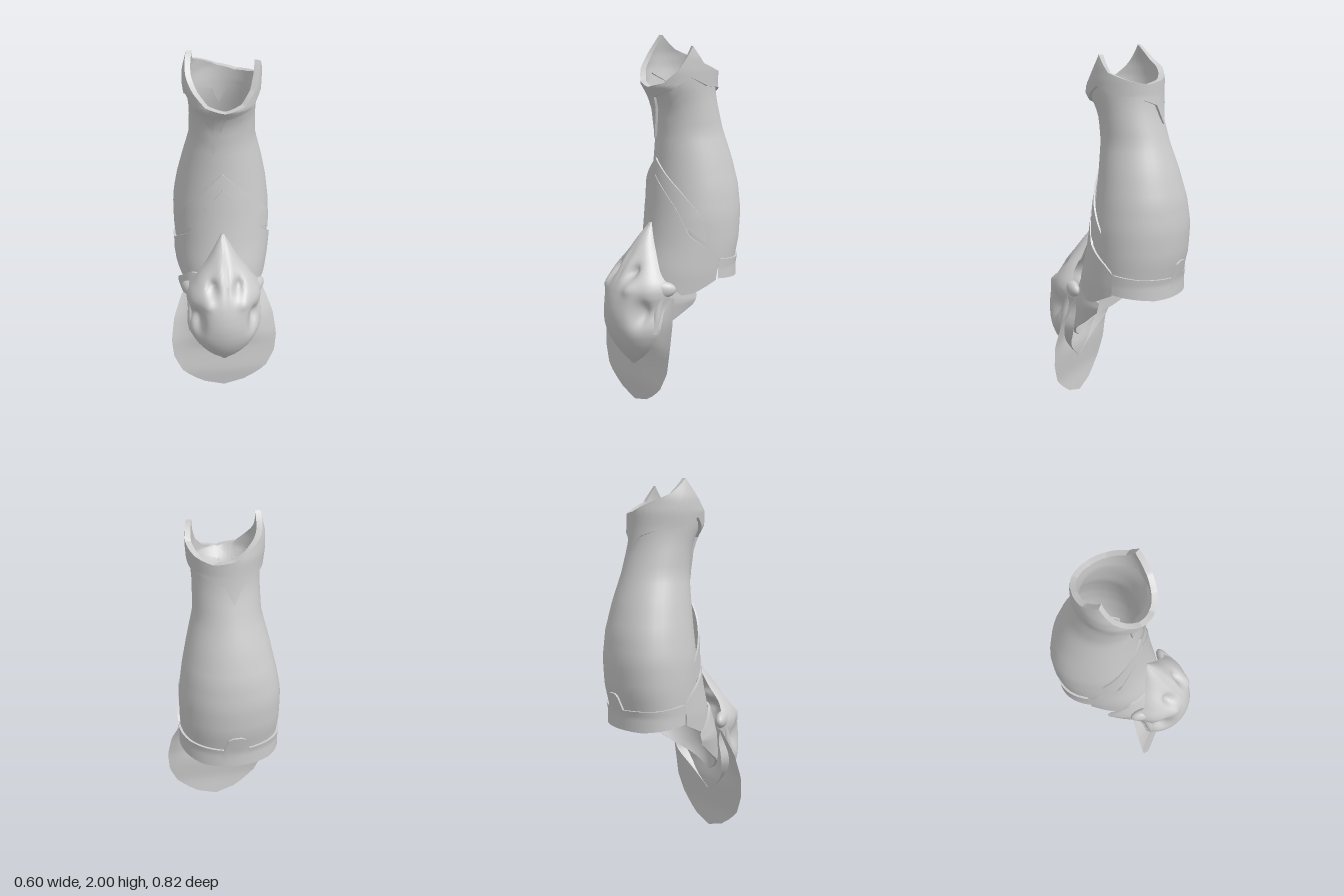
import * as THREE from 'three';
import { toCreasedNormals } from 'three/addons/utils/BufferGeometryUtils.js';

const DEG = Math.PI / 180;
const material = new THREE.MeshStandardMaterial({ color: 0xcccccc, side: THREE.DoubleSide });

// Linear interpolation in rows sorted by their first value
function sample(rows, t) {
  if (t <= rows[0][0]) return rows[0].slice(1);
  for (let i = 1; i < rows.length; i++) {
    const a = rows[i - 1], b = rows[i];
    if (t <= b[0]) {
      const k = (t - a[0]) / (b[0] - a[0]);
      return a.slice(1).map((v, n) => v + (b[n + 1] - v) * k);
    }
  }
  return rows[rows.length - 1].slice(1);
}

// Surface made from a rule that gives a point for each grid position
function grid(nu, nv, point, crease = 0.7) {
  const pos = [], index = [];
  for (let i = 0; i <= nu; i++) for (let j = 0; j <= nv; j++) pos.push(...point(i, j));
  for (let i = 0; i < nu; i++) for (let j = 0; j < nv; j++) {
    const a = i * (nv + 1) + j, b = a + nv + 1;
    index.push(a, b, b + 1, a, b + 1, a + 1);
  }
  const g = new THREE.BufferGeometry();
  g.setAttribute('position', new THREE.Float32BufferAttribute(pos, 3));
  g.setIndex(index);
  return toCreasedNormals(g, crease);
}

// Point on an oval section; rows hold y, centre x, radius x, front z, back z.
// Angle 0 is the front, positive angles turn to +x. The calf is fuller, and the
// top slimmer, towards the rear right.
const fullness = [[0.7, 0.12], [1.1, 0.12], [1.5, 0], [1.85, -0.06]];
function onBody(rows, deg, y, off) {
  const [cx, rx, zf, zb] = sample(rows, y);
  const turn = (deg + 665) % 360 - 180;
  const k = 1 + sample(fullness, y)[0] * Math.exp(-((turn / 33) ** 2));
  const s = Math.sin(deg * DEG), c = Math.cos(deg * DEG);
  return [cx + (rx * k + off) * s, y, (zf + zb) / 2 + ((zf - zb) / 2 * k + off) * c];
}

// Plate of even thickness that follows a body between two outlines (angle, y)
function plate(rows, from, to, steps, top, bottom, off, thick) {
  const n = 9, full = to - from >= 360;
  return grid(steps, 2 * n + 2, (i, j) => {
    const a = from + (to - from) * i / steps;
    const k = j <= n ? j / n : j <= 2 * n + 1 ? (2 * n + 1 - j) / n : 0;
    const inner = j > n && j <= 2 * n + 1;
    const t = sample(top, a)[0], b = sample(bottom, a)[0];
    const d = !full && (i === 0 || i === steps) ? 0 : thick;
    return onBody(rows, a, b + (t - b) * k, off - (inner ? d : 0));
  }, 0.6);
}

const mirrorKeys = keys => [...keys.slice(1).map(([a, y]) => [-a, y]).reverse(), ...keys];

const sleeveRows = [
  [0.76, 0.025, 0.25, 0.1, -0.365], [0.9, 0.025, 0.26, 0.1, -0.398],
  [1.05, 0.025, 0.26, 0.1, -0.408], [1.2, 0.025, 0.242, 0.085, -0.393],
  [1.35, 0.023, 0.213, 0.075, -0.355], [1.5, 0.02, 0.178, 0.07, -0.305],
  [1.62, 0.018, 0.175, 0.08, -0.27], [1.69, 0.016, 0.175, 0.105, -0.257],
  [1.75, 0.013, 0.182, 0.142, -0.252], [1.83, 0.01, 0.19, 0.142, -0.252]];

const collarRows = [
  [1.46, 0.02, 0.185, 0.074, -0.31], [1.5, 0.02, 0.18, 0.074, -0.3],
  [1.62, 0.018, 0.178, 0.084, -0.27], [1.69, 0.016, 0.18, 0.111, -0.262],
  [1.75, 0.013, 0.187, 0.15, -0.258], [1.83, 0.01, 0.196, 0.15, -0.258],
  [1.9, 0.012, 0.196, 0.13, -0.245], [2.0, 0.02, 0.18, 0.1, -0.21]];

const lameRows = [
  [0.6, 0.015, 0.225, 0.185, -0.4], [0.75, 0.02, 0.24, 0.165, -0.4],
  [0.9, 0.025, 0.25, 0.125, -0.41], [1.05, 0.022, 0.256, 0.102, -0.405],
  [1.2, 0.012, 0.246, 0.09, -0.385], [1.3, 0, 0.23, 0.084, -0.365],
  [1.38, 0, 0.21, 0.08, -0.345]];

const footRows = [
  [0.33, 0, 0.09, 0.255, 0.1], [0.45, 0, 0.175, 0.265, -0.15],
  [0.6, 0, 0.228, 0.235, -0.25], [0.8, 0, 0.22, 0.17, -0.28]];

// Mask rows: y, half width, front z, rim z
const maskRows = [
  [0.22, 0.005, 0.262, 0.25], [0.26, 0.065, 0.3, 0.245], [0.3, 0.11, 0.33, 0.235],
  [0.35, 0.155, 0.362, 0.215], [0.4, 0.19, 0.386, 0.185], [0.45, 0.212, 0.402, 0.165],
  [0.5, 0.21, 0.41, 0.16], [0.55, 0.2, 0.412, 0.16], [0.6, 0.2, 0.406, 0.16],
  [0.65, 0.212, 0.394, 0.16], [0.7, 0.207, 0.373, 0.165], [0.75, 0.172, 0.337, 0.19],
  [0.8, 0.14, 0.3, 0.185], [0.85, 0.1, 0.262, 0.168], [0.9, 0.068, 0.23, 0.158],
  [0.95, 0.04, 0.194, 0.147], [1.01, 0.004, 0.137, 0.13]];

function maskPoint(i, j, nu, nv) {
  const y = 0.22 + 0.79 * j / nv;
  const lo = sample(maskRows, y - 0.015), hi = sample(maskRows, y + 0.015);
  const [w, zf, zb] = lo.map((v, n) => (v + hi[n]) / 2);
  const t = (i / nu - 0.5) * Math.PI;
  let x = w * Math.sin(t), z = zb + (zf - zb) * Math.pow(Math.max(0, Math.cos(t)), 0.85);
  const bump = (bx, by, sx, sy) =>
    Math.exp(-(((Math.abs(x) - bx) / sx) ** 2) - ((y - by) / sy) ** 2);
  const eye = bump(0.07, 0.765, 0.026, 0.036), cheek = bump(0.155, 0.56, 0.028, 0.07);
  const brow = bump(0.1, 0.69, 0.03, 0.035), nose = bump(0.025, 0.8, 0.025, 0.08);
  z += -0.04 * eye - 0.055 * cheek + 0.018 * brow + 0.012 * nose;
  x *= 1 - 0.08 * cheek;
  return [x, y, z];
}

export function createModel() {
  const model = new THREE.Group();
  const add = (name, geometry) => {
    const mesh = new THREE.Mesh(geometry, material);
    mesh.name = name;
    model.add(mesh);
    return mesh;
  };

  // Open tapering sleeve, its rim hidden inside the collar
  const sleeveTop = mirrorKeys([[0, 1.735], [30, 1.75], [50, 1.81], [180, 1.81]]);
  add('sleeve', grid(36, 24, (i, j) => {
    const a = i * 10 - 180;
    return onBody(sleeveRows, a, 0.76 + (sample(sleeveTop, a)[0] - 0.76) * j / 24, 0);
  }, 1));

  // Thick collar with two side peaks and points hanging at front and back
  add('collar', plate(collarRows, -180, 180, 144,
    [[-180, 1.83], [-150, 1.88], [-120, 1.92], [-90, 2.0], [-60, 1.87], [-30, 1.77], [0, 1.745],
      [30, 1.77], [50, 1.83], [70, 1.96], [90, 1.87], [120, 1.83], [150, 1.81], [180, 1.83]],
    [[-180, 1.6], [-165, 1.7], [-140, 1.73], [-100, 1.75], [-70, 1.8], [-50, 1.73], [-35, 1.69],
      [-20, 1.46], [0, 1.69], [40, 1.73], [70, 1.8], [100, 1.75], [140, 1.73], [165, 1.7], [180, 1.6]],
    0.01, 0.03));

  // Rear hem with a raised tab at the back
  add('rearHem', plate(sleeveRows, 85, 275, 38,
    [[85, 0.82], [120, 0.8], [165, 0.79], [170, 0.86], [175, 0.875], [185, 0.875], [190, 0.86],
      [195, 0.79], [240, 0.8], [275, 0.82]],
    [[85, 0.71], [140, 0.68], [220, 0.68], [275, 0.71]], 0.012, 0.025));

  // Pointed overlapping lames over the front
  add('upperLame', plate(lameRows, -67, 67, 28,
    mirrorKeys([[0, 1.36], [35, 1.2], [67, 1.03]]),
    mirrorKeys([[0, 1.15], [35, 1.03], [67, 0.92]]), 0.018, 0.01));
  add('lowerLame', plate(lameRows, -88, 88, 44,
    mirrorKeys([[0, 1.27], [28, 1.12], [48, 0.96], [60, 0.92], [76, 0.87], [88, 0.82]]),
    mirrorKeys([[0, 0.64], [50, 0.63], [65, 0.64], [88, 0.7]]), 0.022, 0.012));
  add('footLame', plate(footRows, -88, 88, 44,
    mirrorKeys([[0, 0.78], [50, 0.74], [88, 0.63]]),
    mirrorKeys([[0, 0.34], [25, 0.37], [45, 0.42], [70, 0.49], [88, 0.57]]), 0.005, 0.012));

  // Sculpted beaked mask
  add('mask', grid(48, 60, (i, j) => maskPoint(i, j, 48, 60), 1.2));

  // Swept lobes and cheek struts beside the mask
  for (const side of [-1, 1]) {
    const prefix = side > 0 ? 'left' : 'right';
    const lobe = add(prefix + 'Lobe', new THREE.SphereGeometry(1, 20, 14));
    lobe.scale.set(0.034, 0.046, 0.08);
    lobe.position.set(side * 0.176, 0.678, 0.195);
    lobe.rotation.y = -side * 0.65;
    const path = [[0.19, 0.68, 0.19], [0.182, 0.6, 0.215], [0.184, 0.52, 0.235], [0.18, 0.44, 0.25]];
    add(prefix + 'CheekStrut', new THREE.TubeGeometry(new THREE.CatmullRomCurve3(
      path.map(([x, y, z]) => new THREE.Vector3(side * x, y, z))), 20, 0.022, 10));
  }

  // Thin rounded toe flap whose upper edges sweep back around the foot
  const half = [[0, 0.005], [0.04, 0.13], [0.13, 0.24], [0.24, 0.29], [0.36, 0.3],
    [0.5, 0.28], [0.63, 0.23]];
  const edge = [[0, 0.25], [0.12, 0.258], [0.24, 0.245], [0.36, 0.235], [0.5, 0.2], [0.63, 0.15]];
  add('toeFlap', grid(20, 18, (i, j) => {
    const y = 0.63 * j / 18, u = i / 10 - 1;
    const bulge = sample([[0, 0], [0.3, 0.006], [0.45, 0.06], [0.63, 0.1]], y)[0];
    return [sample(half, y)[0] * u, y, sample(edge, y)[0] + bulge * (1 - u * u) ** 2];
  }, 1));

  return model;
}
